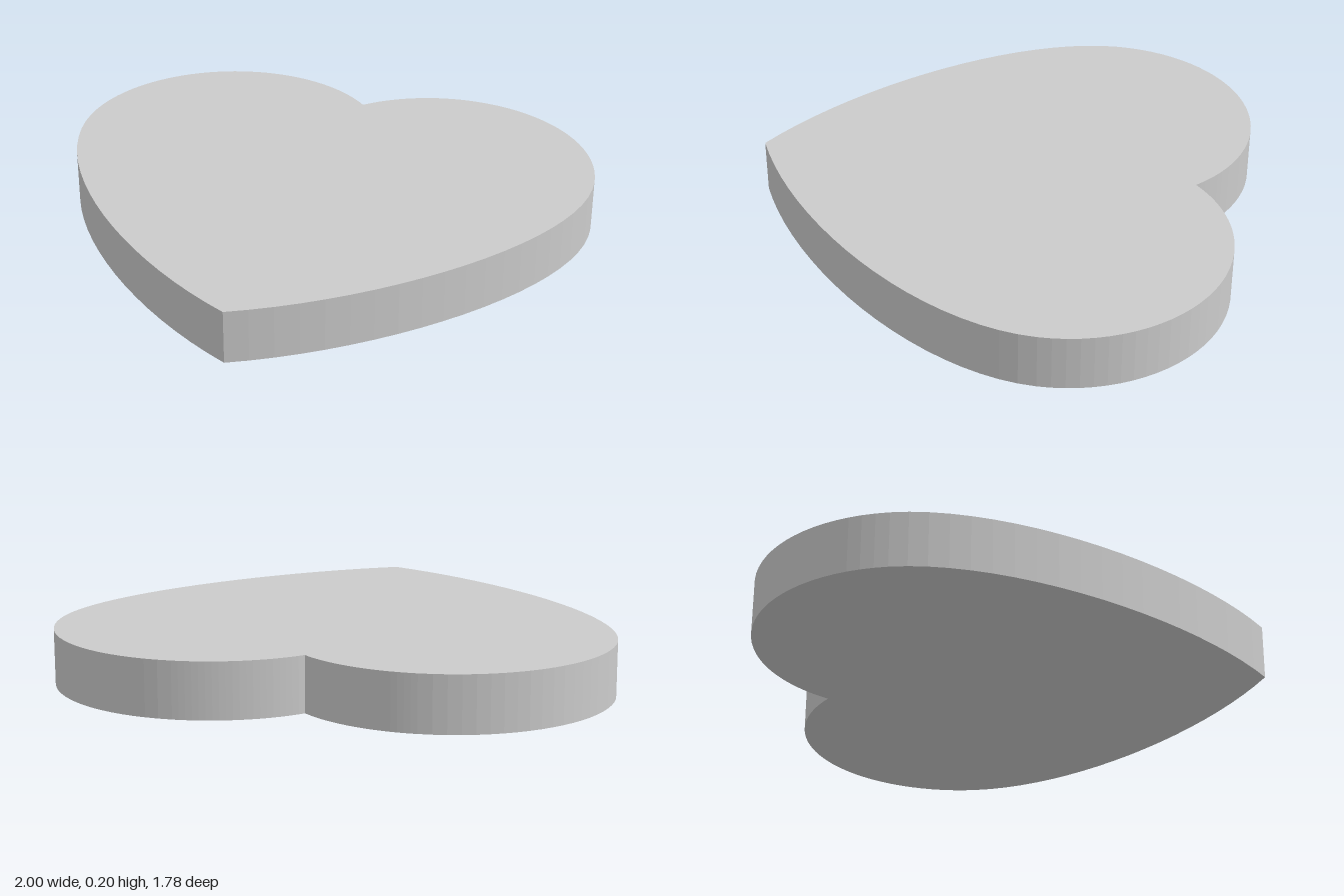
import * as THREE from 'three';

export function createModel() {
  const group = new THREE.Group();
  group.name = 'heartPlate';

  // Heart outline; shape y becomes z once laid flat
  const notch = -0.725, lobeTop = -0.893, widest = -0.31, tip = 0.89;
  const heart = new THREE.Shape();
  heart.moveTo(0, notch);
  heart.bezierCurveTo(0.11, -0.835, 0.26, lobeTop, 0.41, lobeTop);
  heart.bezierCurveTo(0.735, lobeTop, 1, -0.632, 1, widest);
  heart.bezierCurveTo(1, 0.1, 0.5, 0.65, 0, tip);
  heart.bezierCurveTo(-0.5, 0.65, -1, 0.1, -1, widest);
  heart.bezierCurveTo(-1, -0.632, -0.735, lobeTop, -0.41, lobeTop);
  heart.bezierCurveTo(-0.26, lobeTop, -0.11, -0.835, 0, notch);

  // Flat slab with straight walls
  const thickness = 0.2;
  const geometry = new THREE.ExtrudeGeometry(heart, {
    depth: thickness, bevelEnabled: false, curveSegments: 20,
  });
  geometry.rotateX(Math.PI / 2);
  geometry.translate(0, thickness, 0);

  const material = new THREE.MeshStandardMaterial({ color: 0xcccccc, flatShading: true });
  const slab = new THREE.Mesh(geometry, material);
  slab.name = 'heartSlab';
  group.add(slab);
  return group;
}
